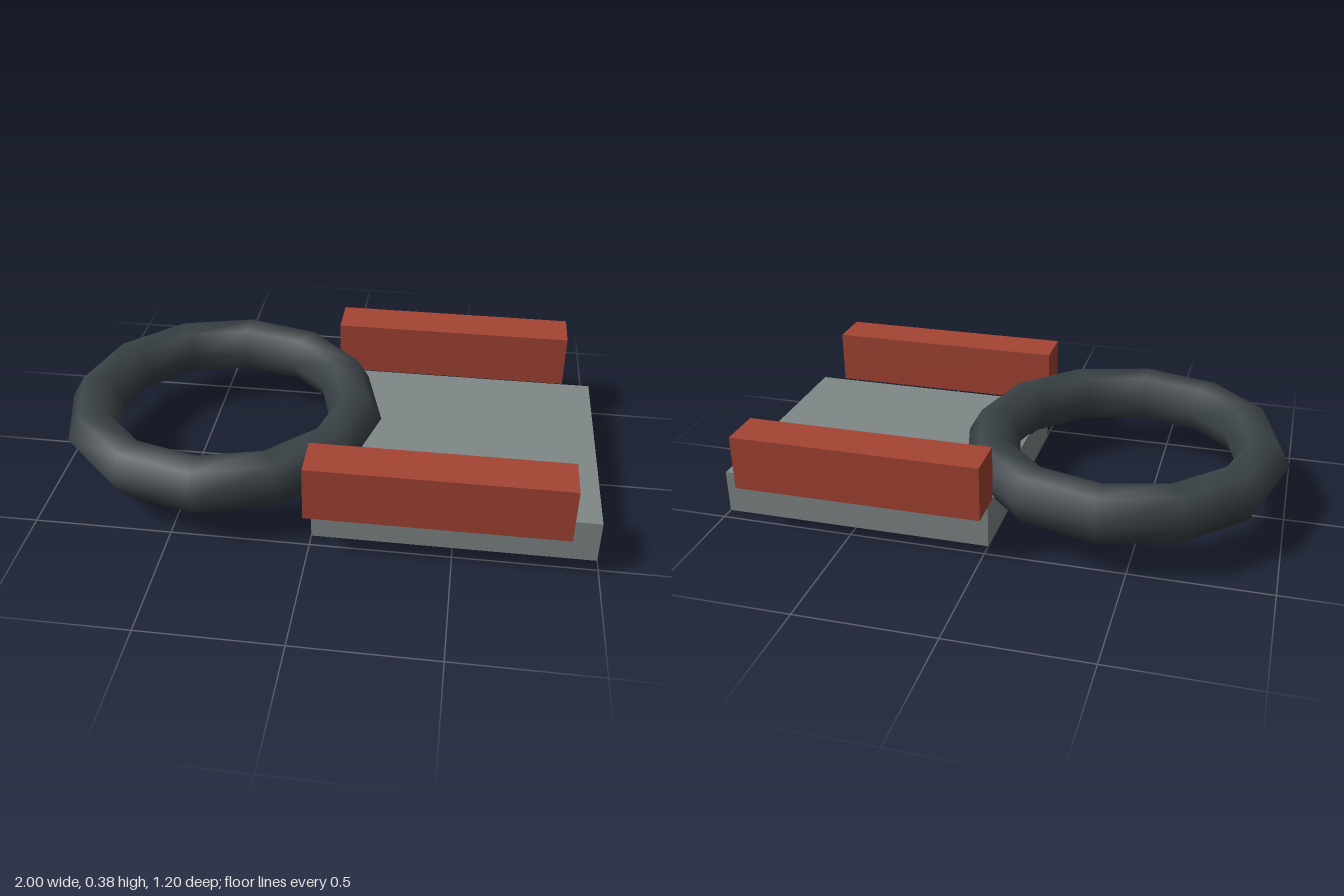
import * as THREE from 'three';

const material = (color) => new THREE.MeshStandardMaterial({ color });

function part(name, geometry, mat, x, y, z) {
  const mesh = new THREE.Mesh(geometry, mat);
  mesh.name = name;
  mesh.position.set(x, y, z);
  return mesh;
}

export function createModel() {
  const model = new THREE.Group();
  model.name = 'ringAndPlate';

  // Flat base plate
  model.add(part('basePlate', new THREE.BoxGeometry(1, 0.16, 0.9), material(0x7f8788), 0.5, 0.08, 0));

  // Two side rails floating just above the plate
  const railGeometry = new THREE.BoxGeometry(0.9, 0.2, 0.16);
  const red = material(0xa64434);
  for (const side of [1, -1]) {
    model.add(part(side > 0 ? 'frontRail' : 'backRail', railGeometry, red, 0.44, 0.28, side * 0.5));
  }

  // Low-poly ring lying flat, overlapping the plate's edge
  const ringGeometry = new THREE.TorusGeometry(0.5, 0.1, 6, 12).rotateX(Math.PI / 2);
  model.add(part('ring', ringGeometry, material(0x3a4246), -0.4, 0.223, 0));

  return model;
}
